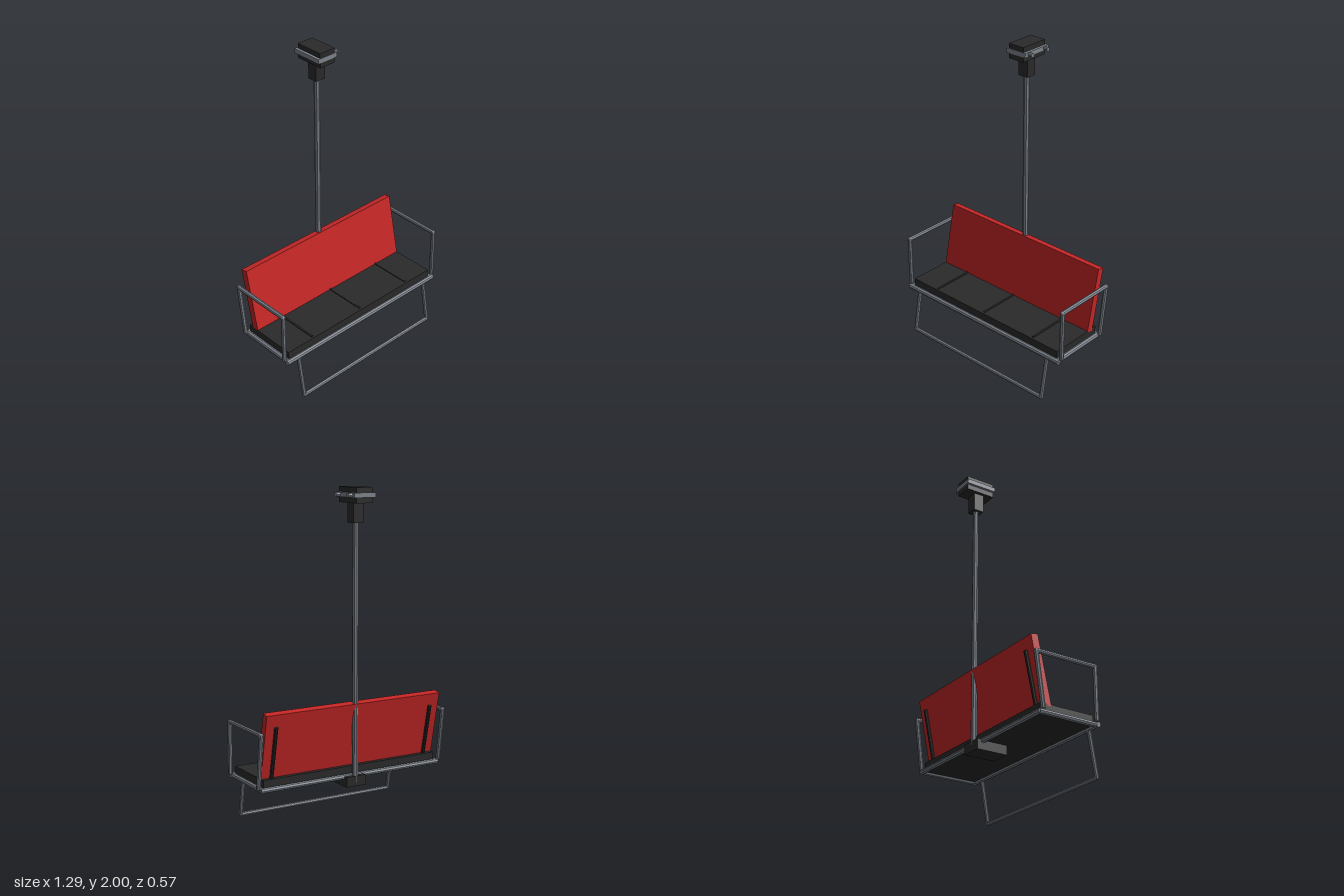
import * as THREE from 'three';

const material = (name, color) => {
  const m = new THREE.MeshStandardMaterial({ color, flatShading: true });
  m.name = name;
  return m;
};

export function createModel() {
  const model = new THREE.Group();
  model.name = 'chairlift';
  const red = material('red backrest', 0xc62626);
  const black = material('black rubber', 0x2a2a2a);
  const steel = material('grey steel', 0x80868f);

  const add = (name, geometry, mat, parent = model) => {
    const mesh = new THREE.Mesh(geometry, mat);
    mesh.name = name;
    parent.add(mesh);
    return mesh;
  };

  // Box given by its minimum and maximum corners
  const box = (name, mat, min, max) => {
    const size = max.map((v, i) => v - min[i]);
    const mesh = add(name, new THREE.BoxGeometry(...size), mat);
    mesh.position.set(...max.map((v, i) => (v + min[i]) / 2));
    return mesh;
  };

  // Straight bar between two points
  const bar = (name, mat, a, b, radius, parent = model) => {
    const start = new THREE.Vector3(...a);
    const dir = new THREE.Vector3(...b).sub(start);
    const mesh = add(name, new THREE.CylinderGeometry(radius, radius, dir.length(), 8), mat, parent);
    mesh.position.copy(start).addScaledVector(dir, 0.5);
    mesh.quaternion.setFromUnitVectors(new THREE.Vector3(0, 1, 0), dir.normalize());
    return mesh;
  };

  // Bars through a list of points, with a small ball at each inner corner
  const bars = (name, points, radius) => {
    const group = new THREE.Group();
    group.name = name;
    model.add(group);
    for (let i = 1; i < points.length; i++) {
      bar(name + 'Bar', steel, points[i - 1], points[i], radius, group);
      if (i < points.length - 1) {
        add(name + 'Corner', new THREE.SphereGeometry(radius, 8, 6), steel, group).position.set(...points[i]);
      }
    }
  };

  // Hanger pole and the mount under the seat
  bar('hangerPole', steel, [0, 0.25, -0.183], [0, 1.82, -0.183], 0.018);
  box('poleMount', black, [-0.067, 0.228, -0.2], [0.067, 0.29, 0]);

  // Cable grip
  box('gripNeck', black, [-0.034, 1.795, -0.216], [0.034, 1.91, -0.15]);
  box('gripBlock', black, [-0.055, 1.91, -0.278], [0.055, 2, -0.091]);
  box('gripPlate', steel, [-0.072, 1.942, -0.287], [0.072, 1.97, -0.088]);
  for (const z of [-0.255, -0.122]) {
    bar('gripBolt', steel, [0.06, 1.956, z], [0.099, 1.956, z], 0.013);
  }

  // Seat cushion with raised ribs
  box('seat', black, [-0.6, 0.285, -0.15], [0.6, 0.342, 0.207]);
  for (const x of [-0.4, 0, 0.4]) {
    box('seatRib', black, [x - 0.006, 0.34, -0.09], [x + 0.006, 0.348, 0.193]);
  }

  // Leaning backrest
  const back = add('backrest', new THREE.BoxGeometry(1.2, 0.413, 0.046), red);
  back.position.set(0, 0.533, -0.138);
  back.rotation.x = -0.205;

  // Tubular seat frame
  const y = 0.285;
  bar('frameFront', steel, [-0.627, y, 0.222], [0.627, y, 0.222], 0.016);
  bar('frameBack', steel, [-0.622, y, -0.16], [0.622, y, -0.16], 0.016);

  for (const s of [-1, 1]) {
    bar('frameSide', steel, [s * 0.612, y, 0.222], [s * 0.612, y, -0.165], 0.016);
    // Struts behind the backrest
    bar('backStrut', black, [s * 0.535, 0.3, -0.119], [s * 0.535, 0.655, -0.194], 0.012);
    // Armrest loop
    bars('armrest', [
      [s * 0.633, 0.3, 0.206],
      [s * 0.633, 0.62, 0.206],
      [s * 0.633, 0.62, -0.194],
      [s * 0.633, 0.295, -0.152],
    ], 0.014);
  }

  // Footrest hanging from the front of the frame
  bars('footrest', [
    [-0.537, y, 0.222],
    [-0.537, 0.014, 0.269],
    [0.537, 0.014, 0.269],
    [0.537, y, 0.222],
  ], 0.013);

  return model;
}
